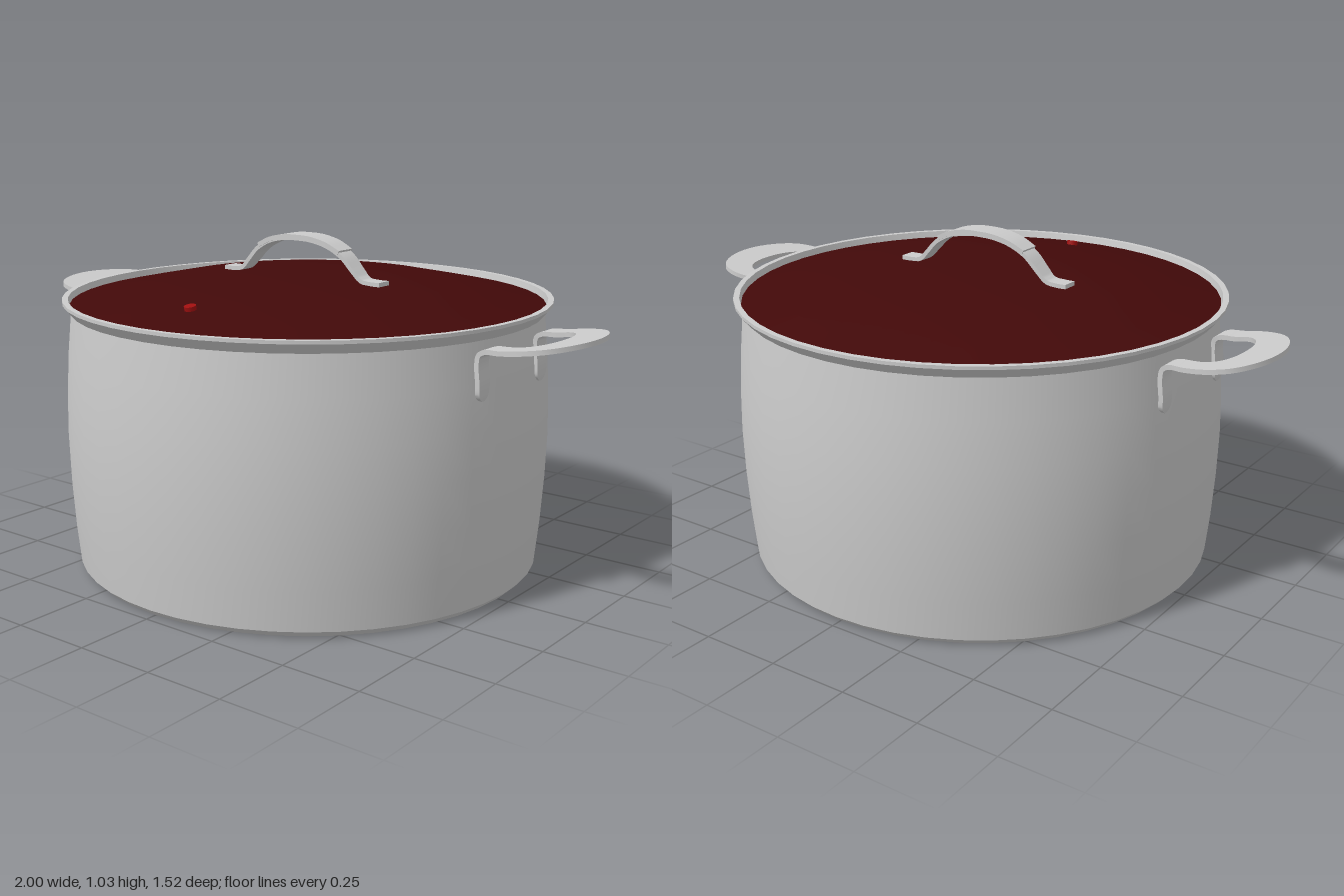
import * as THREE from 'three';
import { toCreasedNormals } from 'three/addons/utils/BufferGeometryUtils.js';

const steel = new THREE.MeshStandardMaterial({ color: 0xcccccc });
const darkRed = new THREE.MeshStandardMaterial({ color: 0x420909 });
const red = new THREE.MeshStandardMaterial({ color: 0xa01010 });

function mesh(name, geometry, material) {
  const m = new THREE.Mesh(geometry, material);
  m.name = name;
  return m;
}

function lathe(profile, crease = 0.4) {
  const pts = profile.map(([r, y]) => new THREE.Vector2(r, y));
  return toCreasedNormals(new THREE.LatheGeometry(pts, 48), crease);
}

// Flat bar of even thickness running between two smooth edge lines
function strap(innerPts, outerPts, thickness, steps) {
  const inner = new THREE.CatmullRomCurve3(innerPts);
  const outer = new THREE.CatmullRomCurve3(outerPts);
  const middle = (t) => inner.getPoint(t).add(outer.getPoint(t));
  const rings = [];
  for (let i = 0; i <= steps; i++) {
    const t = i / steps;
    const a = inner.getPoint(t);
    const b = outer.getPoint(t);
    const along = middle(Math.min(1, t + 0.004)).sub(middle(Math.max(0, t - 0.004)));
    const n = b.clone().sub(a).cross(along).setLength(thickness / 2);
    rings.push([a.clone().add(n), b.clone().add(n), b.clone().sub(n), a.clone().sub(n)]);
  }
  const pos = [];
  const quad = (a, b, c, d) => [a, b, c, a, c, d].forEach((v) => pos.push(v.x, v.y, v.z));
  for (let i = 0; i < steps; i++) {
    for (let k = 0; k < 4; k++) {
      const j = (k + 1) % 4;
      quad(rings[i][k], rings[i][j], rings[i + 1][j], rings[i + 1][k]);
    }
  }
  quad(...[...rings[0]].reverse());
  quad(...rings[steps]);
  const g = new THREE.BufferGeometry();
  g.setAttribute('position', new THREE.Float32BufferAttribute(pos, 3));
  return toCreasedNormals(g, 0.6);
}

// Looped side handle with two tabs lying on the wall
function sideHandleGeometry() {
  const y = (x) => 0.787 + (x - 0.8) * 0.13;
  // [inner x, inner z, outer x, outer z, height]
  const half = [
    [0.732, 0.155, 0.732, 0.17, 0.64],
    [0.734, 0.139, 0.734, 0.186, 0.655],
    [0.735, 0.135, 0.735, 0.19, 0.69],
    [0.73, 0.135, 0.73, 0.19, 0.745],
    [0.735, 0.133, 0.735, 0.19, 0.772],
    [0.756, 0.13, 0.756, 0.192, 0.784],
    [0.8, 0.13, 0.8, 0.199],
    [0.84, 0.135, 0.865, 0.204],
    [0.873, 0.11, 0.93, 0.178],
    [0.892, 0.06, 0.978, 0.105],
    [0.897, 0, 0.998, 0],
  ];
  const edge = (ix) => {
    const pts = half.map((s) => new THREE.Vector3(s[ix], s[4] ?? y(s[ix]), s[ix + 1]));
    const mirrored = pts.slice(0, -1).reverse().map((p) => new THREE.Vector3(p.x, p.y, -p.z));
    return [...pts, ...mirrored];
  };
  return strap(edge(0), edge(2), 0.014, 80);
}

// Arched bar from mirrored stations [x, y, half width]
function archGeometry(half, thickness, steps) {
  const all = [...half, ...half.slice(0, -1).reverse().map(([x, y, w]) => [-x, y, w])];
  const edge = (s) => all.map(([x, y, w]) => new THREE.Vector3(x, y, s * w));
  return strap(edge(-1), edge(1), thickness, steps);
}

export function createModel() {
  const pot = new THREE.Group();
  pot.name = 'cookingPot';

  // Bellied body with chamfered base, flared rim and hollow inside
  pot.add(mesh('body', lathe([
    [0, 0], [0.712, 0], [0.732, 0.02], [0.744, 0.14], [0.753, 0.28], [0.757, 0.42],
    [0.754, 0.55], [0.746, 0.68], [0.734, 0.805], [0.76, 0.835], [0.76, 0.845],
    [0.742, 0.845], [0.737, 0.82], [0.722, 0.8], [0.734, 0.68], [0.745, 0.42],
    [0.732, 0.14], [0.72, 0.03], [0, 0.03],
  ]), steel));

  // Shallow domed lid seated inside the rim
  const lid = new THREE.Group();
  lid.name = 'lid';
  lid.add(mesh('lidDome', lathe([
    [0, 0.89], [0.45, 0.872], [0.735, 0.81], [0.74, 0.824],
    [0.62, 0.85], [0.45, 0.885], [0.22, 0.896], [0, 0.902],
  ]), darkRed));

  const vent = mesh('steamVent', new THREE.CylinderGeometry(0.018, 0.018, 0.016, 12), red);
  vent.position.set(0, 0.871, 0.54);
  vent.rotation.x = 0.2;
  lid.add(vent);

  const lidHandle = new THREE.Group();
  lidHandle.name = 'lidHandle';
  lidHandle.position.x = -0.016;
  lidHandle.add(mesh('lidHandleBar', archGeometry([
    [-0.305, 0.9, 0.026], [-0.27, 0.9, 0.027], [-0.235, 0.905, 0.025], [-0.205, 0.933, 0.028],
    [-0.165, 0.973, 0.031], [-0.11, 1.002, 0.034], [-0.05, 1.015, 0.035], [0, 1.017, 0.035],
  ], 0.013, 56), steel));
  lidHandle.add(mesh('lidHandleGrip', archGeometry([
    [-0.158, 0.985, 0.034], [-0.11, 1.007, 0.037], [-0.05, 1.02, 0.039], [0, 1.022, 0.04],
  ], 0.014, 24), steel));
  lid.add(lidHandle);
  pot.add(lid);

  // Pair of side handles
  const handle = sideHandleGeometry();
  for (const [name, turn] of [['leftHandle', 0], ['rightHandle', Math.PI]]) {
    const h = mesh(name, handle, steel);
    h.rotation.y = turn;
    pot.add(h);
  }
  return pot;
}
